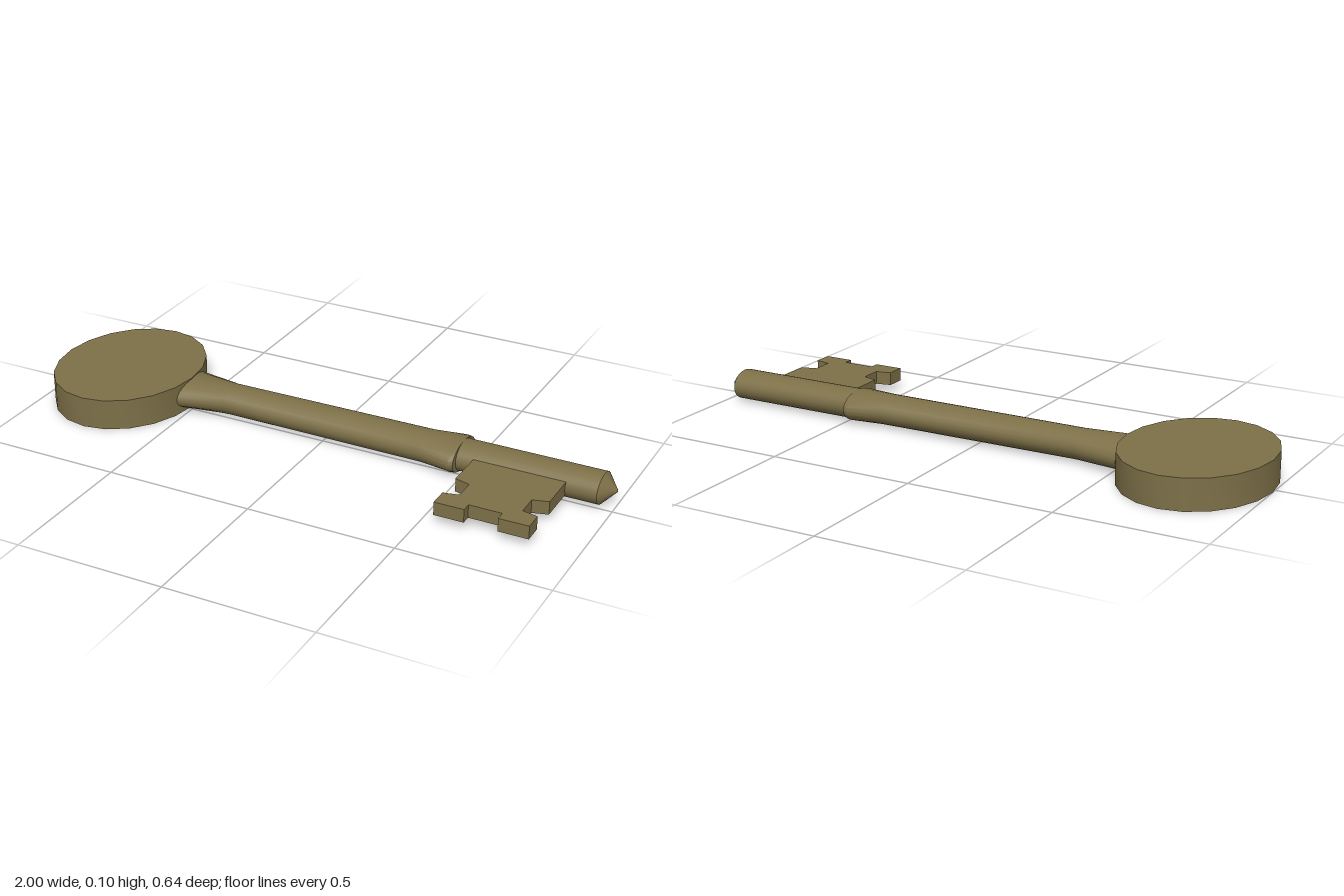
import * as THREE from 'three';
import { toCreasedNormals } from 'three/addons/utils/BufferGeometryUtils.js';

const brass = new THREE.MeshStandardMaterial({ color: 0x7d7048 });

function part(name, geometry) {
  const mesh = new THREE.Mesh(toCreasedNormals(geometry, 0.6), brass);
  mesh.name = name;
  return mesh;
}

// Oval handle: closed on top, with a shallow recess underneath
function createBow() {
  const profile = [[0, 0.05], [0.73, 0.05], [0.73, 0], [1, 0], [1, 0.105], [0, 0.105]]
    .map(([r, y]) => new THREE.Vector2(r, y));
  const geometry = new THREE.LatheGeometry(profile, 20);
  geometry.scale(0.245, 1, 0.298);
  geometry.translate(-0.755, 0, -0.022);
  return part('bow', geometry);
}

// Shaft along x: stations of [x, half width, half height]
function createShaft() {
  const stations = [
    [-0.53, 0, 0], [-0.53, 0.104, 0.05], [-0.36, 0.063, 0.05], [0.36, 0.071, 0.05],
    [0.47, 0.096, 0.05], [0.485, 0.09, 0.05], [0.485, 0.066, 0.05],
    [0.955, 0.066, 0.05], [1, 0.004, 0.003], [1, 0, 0],
  ];
  const points = stations.map(([x, w]) => new THREE.Vector2(w, x));
  const geometry = new THREE.LatheGeometry(points, 24);
  const pos = geometry.attributes.position;
  // flatten each ring to its own height
  for (let i = 0; i < pos.count; i++) {
    const [, w, h] = stations[i % stations.length];
    pos.setX(i, w > 0 ? pos.getX(i) * h / w : 0);
  }
  geometry.rotateZ(-Math.PI / 2);
  geometry.translate(0, 0.053, -0.04);
  return part('shaft', geometry);
}

// Flat notched bit, mirrored about its centre line
function createBit() {
  const half = [[0.155, -0.03], [0.155, 0.155], [0.103, 0.17], [0.103, 0.242],
    [0.155, 0.253], [0.155, 0.318], [0.055, 0.318], [0.055, 0.285]];
  const mirrored = half.map(([x, z]) => [-x, z]).reverse();
  const outline = [...half, ...mirrored].map(([x, z]) => new THREE.Vector2(x + 0.697, -z));
  const geometry = new THREE.ExtrudeGeometry(new THREE.Shape(outline), { depth: 0.045, bevelEnabled: false });
  geometry.rotateX(-Math.PI / 2);
  geometry.translate(0, 0.031, 0);
  return part('bit', geometry);
}

export function createModel() {
  const key = new THREE.Group();
  key.name = 'key';
  key.add(createBow(), createShaft(), createBit());
  return key;
}
